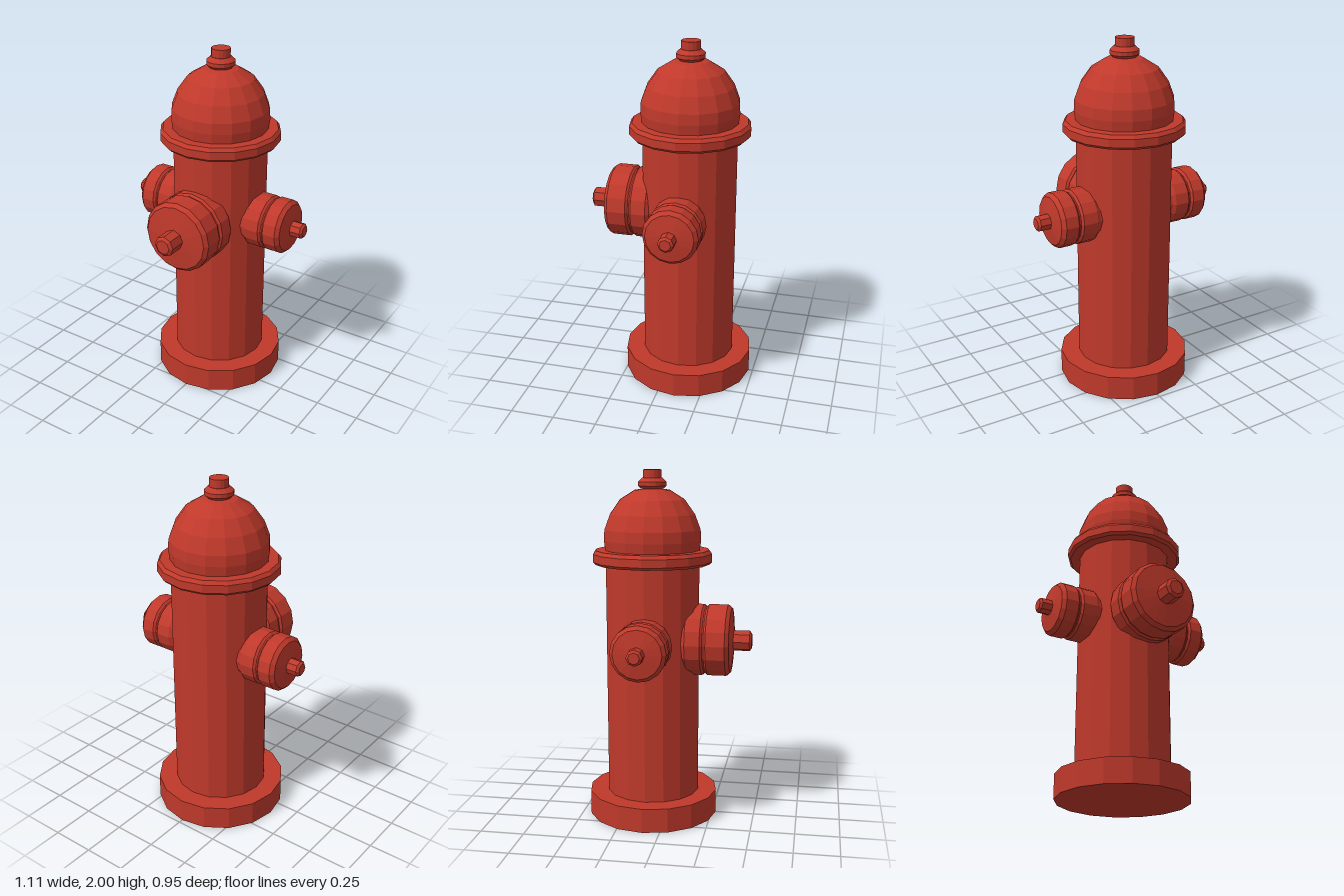
import * as THREE from 'three';

const AXIS_Z = -0.1;    // the barrel stands behind centre, the front outlet reaches forward
const OUTLET_Y = 1.045;

const paint = new THREE.MeshStandardMaterial({ color: 0xc0392b, flatShading: true });

// Faceted solid of revolution from [radius, height] pairs, bottom to top
function turned(name, profile, sides = 16) {
  const points = profile.map(([r, h]) => new THREE.Vector2(r, h));
  const mesh = new THREE.Mesh(new THREE.LatheGeometry(points, sides), paint);
  mesh.name = name;
  return mesh;
}

// Capped hose outlet pointing along +y, heights measured from the barrel axis
function outlet(name, r, seam, capEnd, stemR, tip) {
  const group = new THREE.Group();
  group.name = name;
  group.add(
    turned('outletNeck', [
      [0, 0.1], [r * 0.92, 0.1], [r * 0.92, seam - 0.125], [r, seam - 0.105],
      [r, seam - 0.02], [r - 0.012, seam - 0.008], [r - 0.012, seam + 0.004], [0, seam + 0.004],
    ]),
    turned('outletCap', [
      [0, seam], [r - 0.012, seam], [r, seam + 0.012], [r, capEnd - 0.035],
      [r - 0.02, capEnd - 0.014], [stemR, capEnd], [0, capEnd],
    ]),
    turned('outletNut', [
      [0, capEnd - 0.01], [stemR, capEnd - 0.01], [stemR, tip - 0.012],
      [stemR * 0.7, tip], [0, tip],
    ], 8),
  );
  group.position.y = OUTLET_Y;
  return group;
}

export function createModel() {
  const model = new THREE.Group();
  model.name = 'fireHydrant';
  const body = new THREE.Group();
  body.name = 'hydrantBody';
  body.position.z = AXIS_Z;
  model.add(body);

  // Foot and upright barrel
  body.add(turned('base', [[0, 0], [0.375, 0], [0.375, 0.14], [0, 0.14]]));
  body.add(turned('barrel', [[0, 0.1], [0.268, 0.1], [0.268, 1.5], [0, 1.5]]));

  // Flange, dome and top nut
  body.add(turned('flange', [
    [0, 1.475], [0.325, 1.475], [0.34, 1.49], [0.34, 1.535], [0.325, 1.555], [0, 1.555],
  ]));
  body.add(turned('dome', [
    [0, 1.54], [0.268, 1.54], [0.277, 1.61], [0.274, 1.67], [0.242, 1.755],
    [0.185, 1.835], [0.1, 1.888], [0, 1.9],
  ]));
  body.add(turned('topNut', [
    [0, 1.89], [0.065, 1.895], [0.08, 1.91], [0.08, 1.932], [0.056, 1.955],
    [0.053, 1.955], [0.053, 2], [0, 2],
  ]));

  // Two small side outlets and the large front one
  for (const [side, name] of [[1, 'leftOutlet'], [-1, 'rightOutlet']]) {
    const small = outlet(name, 0.155, 0.36, 0.482, 0.045, 0.555);
    small.rotation.z = -side * Math.PI / 2;
    body.add(small);
  }
  const front = outlet('frontOutlet', 0.206, 0.316, 0.47, 0.059, 0.573);
  front.rotation.x = Math.PI / 2;
  body.add(front);

  return model;
}
